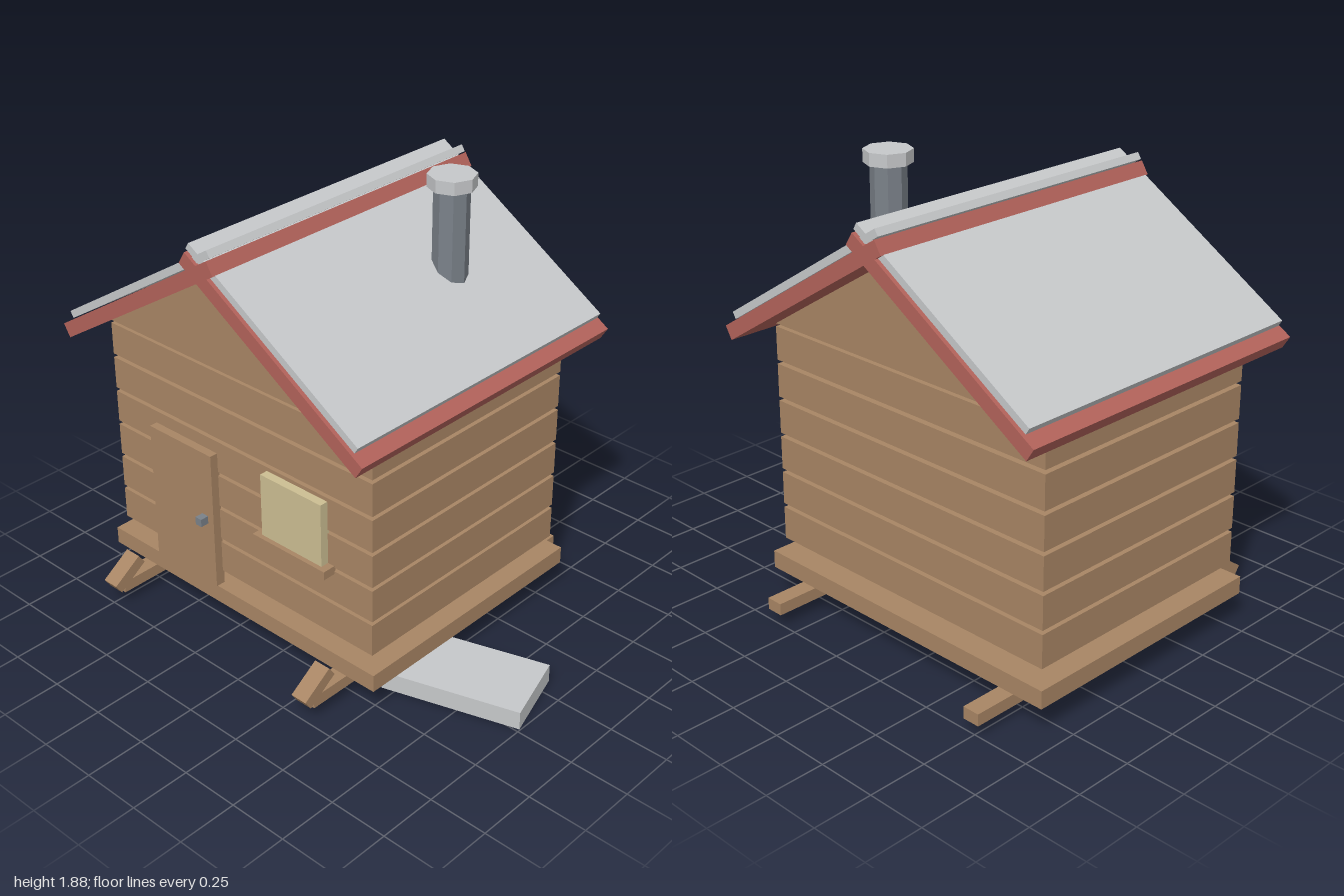
import * as THREE from 'three';

const material = (name, color) => {
  const m = new THREE.MeshStandardMaterial({ color });
  m.name = name;
  return m;
};

export function createModel() {
  const wood = material('wood', 0xa88564);
  const red = material('red trim', 0xb2625a);
  const silver = material('pale metal', 0xc6c8ca);
  const iron = material('dark metal', 0x7a8189);
  const glass = material('window glass', 0xccbe92);

  const model = new THREE.Group();
  model.name = 'cabin';

  const add = (name, geometry, mat, x, y, z) => {
    const mesh = new THREE.Mesh(geometry, mat);
    mesh.name = name;
    mesh.position.set(x, y, z);
    model.add(mesh);
    return mesh;
  };
  // Box given by its limits on each axis
  const block = (name, mat, [x0, x1], [y0, y1], [z0, z1]) =>
    add(name, new THREE.BoxGeometry(x1 - x0, y1 - y0, z1 - z0), mat,
      (x0 + x1) / 2, (y0 + y1) / 2, (z0 + z1) / 2);

  const ridgeX = -0.197;
  const wallX = [-0.903, 0.509];
  const wallZ = [-0.567, 0.527];

  // Floor and spaced plank courses
  block('floor', wood, [-0.936, 0.544], [0.123, 0.198], [-0.603, 0.558]);
  for (let i = 0; i < 6; i++) {
    const y = 0.258 + i * 0.1557;
    block('wallPlank', wood, wallX, [y, y + 0.139], wallZ);
  }

  // Gable prism under the roof
  const triangle = new THREE.Shape([
    new THREE.Vector2(wallX[0], 1.188),
    new THREE.Vector2(wallX[1], 1.188),
    new THREE.Vector2(ridgeX, 1.628),
  ]);
  add('gable', new THREE.ExtrudeGeometry(triangle, { depth: wallZ[1] - wallZ[0], bevelEnabled: false }),
    wood, 0, 0, wallZ[0]);

  // Roof slabs cross at the ridge; each is placed from its upper eave corner
  const slope = 0.5605;
  const roofSlab = (name, mat, eave, y, length, thick, z0, z1) => {
    const dx = -eave + (length * Math.cos(slope) + thick * Math.sin(slope)) / 2;
    const cy = y + (length * Math.sin(slope) - thick * Math.cos(slope)) / 2;
    for (const side of [1, -1]) {
      const slab = add(name, new THREE.BoxGeometry(length, thick, z1 - z0), mat,
        ridgeX + side * dx, cy, (z0 + z1) / 2);
      slab.rotation.z = side * slope;
    }
  };
  roofSlab('roofBoard', red, 0.803, 1.197, 1.015, 0.06, -0.733, 0.685);
  roofSlab('roofSheet', silver, 0.771, 1.258, 0.965, 0.03, -0.72, 0.672);

  // Chimney pipe and cap
  add('chimneyPipe', new THREE.CylinderGeometry(0.071, 0.071, 0.47, 8), iron, 0.192, 1.615, -0.253).material.flatShading = true;
  const cap = add('chimneyCap', new THREE.CylinderGeometry(0.096, 0.096, 0.052, 8), silver, 0.192, 1.854, -0.253);
  cap.material.flatShading = true;

  // Door, knob, window and sill
  block('door', wood, [-0.663, -0.31], [0.198, 0.81], [0.52, 0.563]);
  block('doorKnob', iron, [-0.375, -0.342], [0.488, 0.522], [0.56, 0.6]);
  block('windowPane', glass, [-0.032, 0.284], [0.57, 0.848], [0.52, 0.563]);
  block('windowSill', wood, [-0.064, 0.316], [0.54, 0.576], [0.52, 0.583]);

  // Runners with turned-back tips
  for (const x of [-0.744, 0.352]) {
    block('runner', wood, [x - 0.037, x + 0.037], [0.056, 0.106], [-0.764, 0.72]);
    const tip = add('runnerTip', new THREE.BoxGeometry(0.074, 0.051, 0.158), wood, x, 0.131, 0.687);
    tip.rotation.x = 0.6;
  }

  // Loose stone step beside the cabin
  const step = add('step', new THREE.BoxGeometry(0.575, 0.079, 0.319), silver, 0.674, 0.0395, 0.168);
  step.rotation.y = 0.3;

  return model;
}
